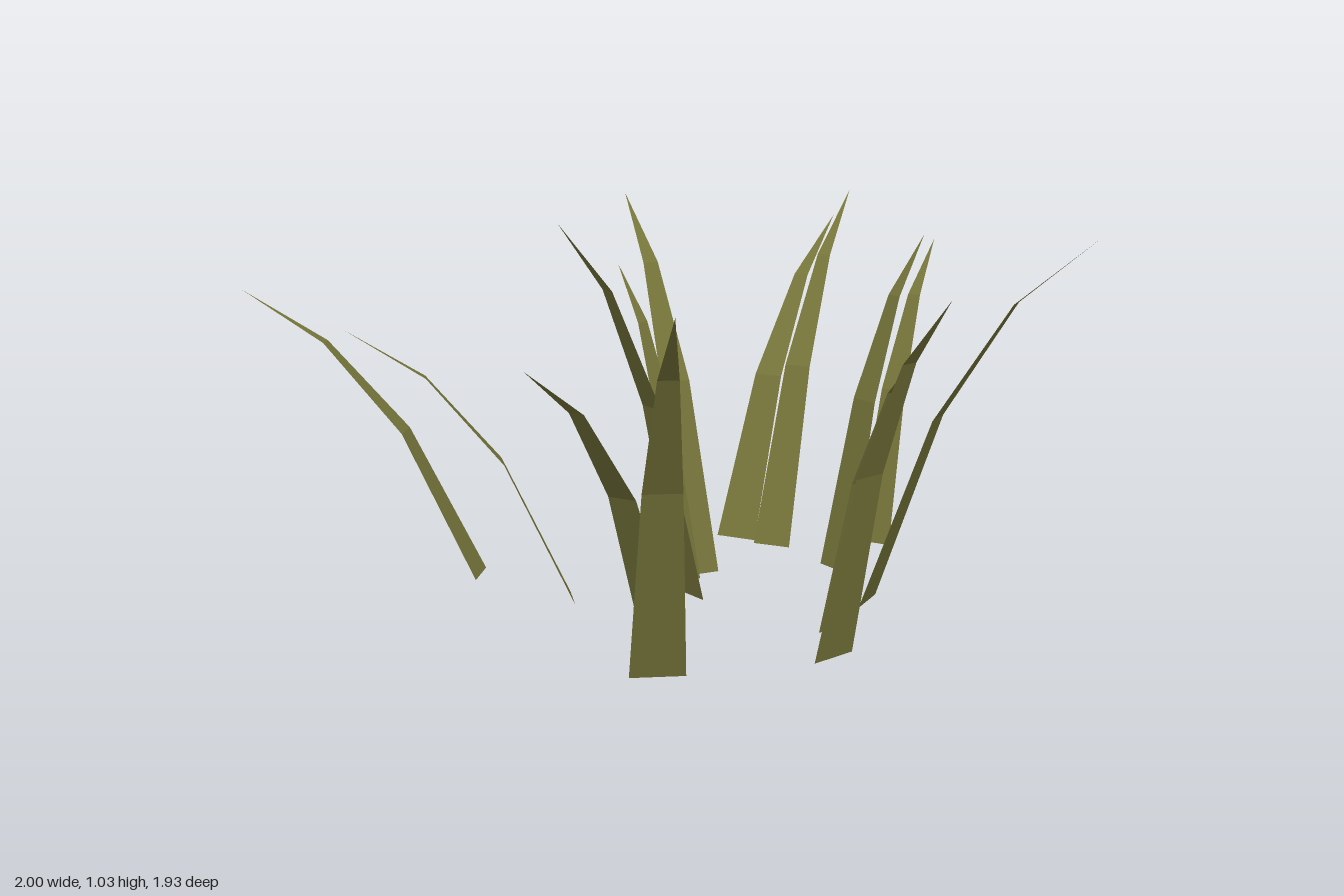
import * as THREE from 'three';

// Each blade: two base corners (x, z), tip (x, z), height
const BLADES = [
  [-0.385, -0.41, -0.43, -0.31, -1.0, -0.63, 0.77],
  [-0.2, -0.155, -0.21, -0.04, -0.775, -0.165, 0.74],
  [0.08, -0.1, 0.125, 0.0, -0.285, 0.15, 1.035],
  [0.11, -0.2, 0.23, -0.22, 0.075, -0.66, 0.995],
  [0.08, -0.12, 0.165, -0.175, -0.01, -0.39, 0.84],
  [0.32, -0.54, 0.41, -0.465, 0.81, -0.97, 0.865],
  [0.4, -0.44, 0.485, -0.375, 0.82, -0.86, 0.955],
  [0.695, -0.395, 0.77, -0.325, 1.0, -0.62, 0.835],
  [0.525, -0.215, 0.57, -0.1, 0.825, -0.27, 0.905],
  [0.5, 0.16, 0.58, 0.07, 0.975, 0.475, 1.0],
  [0.34, 0.31, 0.455, 0.27, 0.49, 0.58, 0.79],
  [0.26, 0.51, 0.375, 0.455, 0.46, 0.795, 0.93],
  [-0.195, 0.49, -0.06, 0.51, -0.21, 0.965, 0.955],
  [-0.1, 0.225, -0.02, 0.3, -0.48, 0.735, 0.81],
];

// Shared bend: fraction of outward reach, fraction of height
const BEND = [[0, 0], [0.31, 0.515], [0.645, 0.825], [1, 1]];

// Flat three-segment blade that narrows to a point as it arches outward
function bladeGeometry([ax, az, bx, bz, tx, tz, height]) {
  const positions = [];
  const index = [];
  for (const [reach, rise] of BEND) {
    const y = rise * height;
    positions.push(ax + (tx - ax) * reach, y, az + (tz - az) * reach);
    positions.push(bx + (tx - bx) * reach, y, bz + (tz - bz) * reach);
  }
  for (let i = 0; i < BEND.length - 1; i++) {
    const k = i * 2;
    index.push(k, k + 1, k + 2);
    if (i < BEND.length - 2) index.push(k + 1, k + 3, k + 2);
  }
  const indexed = new THREE.BufferGeometry();
  indexed.setAttribute('position', new THREE.Float32BufferAttribute(positions, 3));
  indexed.setIndex(index);
  const geometry = indexed.toNonIndexed();
  geometry.computeVertexNormals();
  return geometry;
}

export function createModel() {
  const group = new THREE.Group();
  group.name = 'grassTuft';
  const olive = new THREE.MeshStandardMaterial({ color: 0x75743a, side: THREE.DoubleSide, flatShading: true });
  olive.name = 'olive green';

  BLADES.forEach((blade, i) => {
    const mesh = new THREE.Mesh(bladeGeometry(blade), olive);
    mesh.name = `grassBlade${i + 1}`;
    group.add(mesh);
  });
  return group;
}
